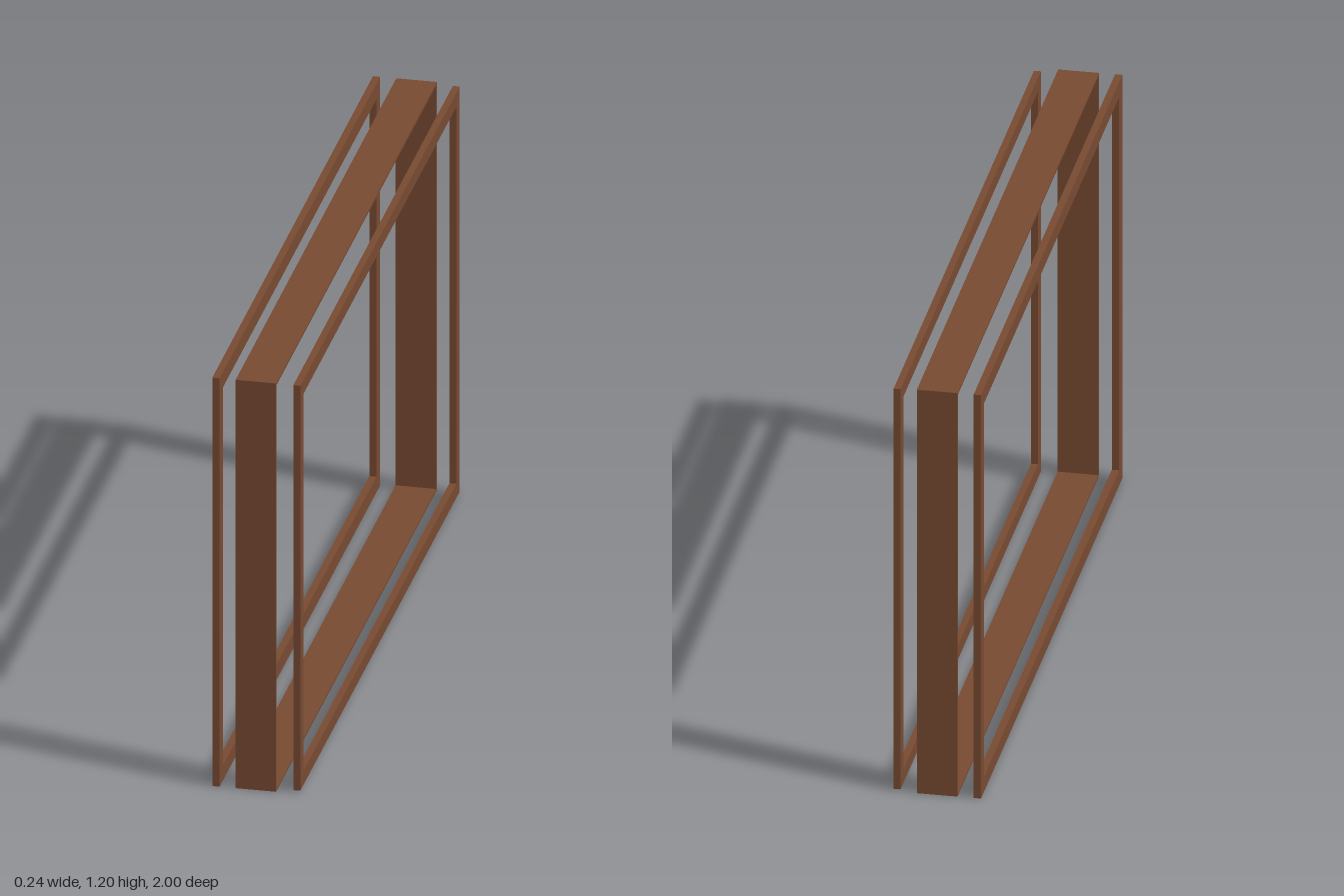
import * as THREE from 'three';

const wood = new THREE.MeshStandardMaterial({ color: 0x774a32 });

// Counter-clockwise, so that the walls of both outline and hole face outward
function rectangle(path, z0, z1, y0, y1) {
  path.moveTo(-z1, y0);
  path.lineTo(-z0, y0);
  path.lineTo(-z0, y1);
  path.lineTo(-z1, y1);
  path.closePath();
  return path;
}

// Rectangular frame in the z-y plane, extruded along x
function frame(name, { x0, x1, z0, z1, y0, y1, bar }) {
  const shape = rectangle(new THREE.Shape(), z0, z1, y0, y1);
  shape.holes.push(rectangle(new THREE.Path(), z0 + bar, z1 - bar, y0 + bar, y1 - bar));
  const geometry = new THREE.ExtrudeGeometry(shape, { depth: x1 - x0, bevelEnabled: false });
  geometry.rotateY(Math.PI / 2); // shape x becomes -z, depth becomes +x
  geometry.translate(x0, 0, 0);
  const mesh = new THREE.Mesh(geometry, wood);
  mesh.name = name;
  return mesh;
}

export function createModel() {
  const group = new THREE.Group();
  group.name = 'windowFrame';
  group.add(
    // Flat trim on the right side
    frame('rightTrim', { x0: -0.12, x1: -0.1, z0: -1, z1: 1, y0: 0, y1: 1.2, bar: 0.045 }),
    // Deep, thin-walled lining between the trims
    frame('lining', { x0: -0.056, x1: 0.055, z0: -1, z1: 1, y0: 0, y1: 1.2, bar: 0.007 }),
    // Flat trim on the left side, slightly smaller
    frame('leftTrim', { x0: 0.1, x1: 0.119, z0: -0.995, z1: 0.99, y0: 0.005, y1: 1.195, bar: 0.041 }),
  );
  return group;
}
